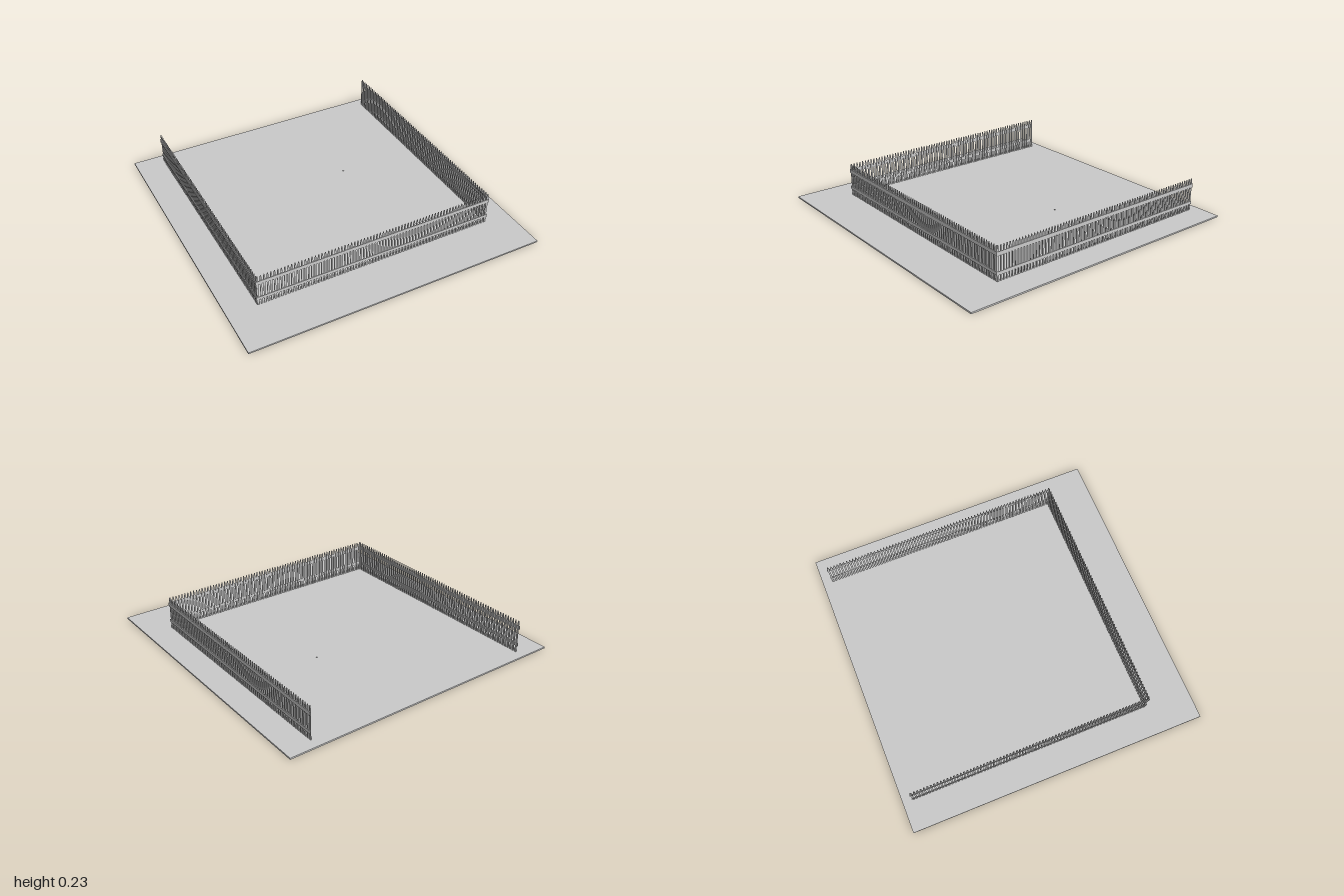
import * as THREE from 'three';

const material = new THREE.MeshStandardMaterial({ color: 0xcccccc, flatShading: true });

const LENGTH = 1.62;      // length of one fence run
const PICKETS = 74;
const GROUND = 0.01;

function box(name, w, h, d, x, y, z) {
  const mesh = new THREE.Mesh(new THREE.BoxGeometry(w, h, d), material);
  mesh.name = name;
  mesh.position.set(x, y, z);
  return mesh;
}

// Pointed slat, standing on y = 0, centred on z = 0
function picketGeometry(width, height, depth) {
  const w = width / 2, shoulder = height - 0.022;
  const outline = new THREE.Shape();
  outline.moveTo(-w, 0);
  outline.lineTo(w, 0);
  outline.lineTo(w, shoulder);
  outline.lineTo(w * 0.3, height);
  outline.lineTo(-w * 0.3, height);
  outline.lineTo(-w, shoulder);
  outline.closePath();
  return new THREE.ExtrudeGeometry(outline, { depth, bevelEnabled: false }).translate(0, 0, -depth / 2);
}

// One straight run along x, with its rails on the +z (outer) side
function createFence(name) {
  const fence = new THREE.Group();
  fence.name = name;
  const width = 0.012;
  const slat = picketGeometry(width, 0.222, 0.005);
  const pitch = (LENGTH - width) / (PICKETS - 1);
  for (let i = 0; i < PICKETS; i++) {
    const picket = new THREE.Mesh(slat, material);
    picket.name = 'picket';
    picket.position.set(-LENGTH / 2 + width / 2 + i * pitch, GROUND, 0);
    fence.add(picket);
  }
  fence.add(box('upperRail', LENGTH + 0.008, 0.025, 0.004, 0, 0.183, 0.0045));
  fence.add(box('lowerRail', LENGTH + 0.008, 0.021, 0.004, 0, 0.062, 0.0045));
  return fence;
}

export function createModel() {
  const model = new THREE.Group();
  model.name = 'fencedYard';

  model.add(box('ground', 2, GROUND, 2, 0, GROUND / 2, 0));

  // Three runs enclosing the yard, open at the back
  const centreX = 0.008, centreZ = -0.123;
  const runs = [
    ['frontFence', centreX, 0.686, 0],
    ['leftFence', centreX + 0.81, centreZ, Math.PI / 2],
    ['rightFence', centreX - 0.81, centreZ, -Math.PI / 2],
  ];
  for (const [name, x, z, turn] of runs) {
    const fence = createFence(name);
    fence.position.set(x, 0, z);
    fence.rotation.y = turn;
    model.add(fence);
  }

  // Tiny marker lying in the yard
  model.add(box('groundMarker', 0.007, 0.004, 0.005, 0.27, GROUND + 0.002, -0.228));
  return model;
}
